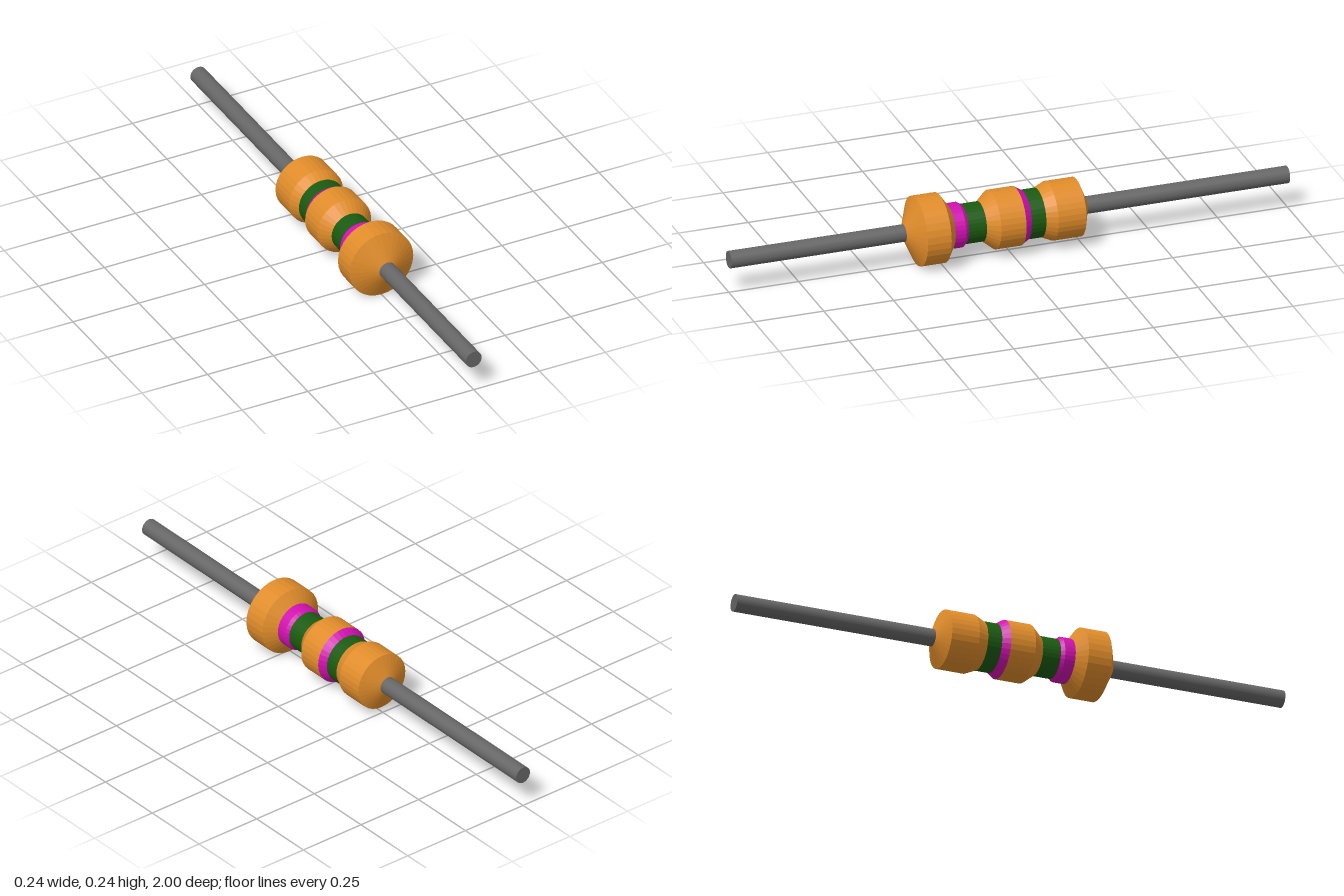
import * as THREE from 'three';

const SIDES = 32;

export function createModel() {
  const model = new THREE.Group();
  model.name = 'resistor';
  const axis = new THREE.Group();
  axis.name = 'axialBody';
  axis.position.y = 0.121;
  axis.rotation.x = Math.PI / 2; // local y runs along z
  model.add(axis);

  const material = (color) => new THREE.MeshStandardMaterial({ color, flatShading: true });
  const orange = material(0xe08c2a);
  const green = material(0x1a5a10);
  const magenta = material(0xd010b0);
  const grey = material(0x666666);

  // Turned section from [z, radius] pairs, back to front
  function turned(name, mat, profile) {
    const points = profile.map(([z, r]) => new THREE.Vector2(r, z));
    const mesh = new THREE.Mesh(new THREE.LatheGeometry(points, SIDES), mat);
    mesh.name = name;
    axis.add(mesh);
  }

  // Body sections and colour bands
  turned('rearCap', orange, [[-0.275, 0.03], [-0.245, 0.102], [-0.145, 0.102], [-0.107, 0.085]]);
  turned('rearGreenBand', green, [[-0.107, 0.085], [-0.056, 0.085]]);
  turned('rearMagentaBand', magenta, [[-0.056, 0.085], [-0.03, 0.102]]);
  turned('middleSection', orange, [[-0.03, 0.102], [0.06, 0.102], [0.1, 0.069]]);
  turned('frontGreenBand', green, [[0.1, 0.069], [0.165, 0.069]]);
  turned('frontMagentaBand', magenta, [[0.165, 0.069], [0.177, 0.078], [0.215, 0.078]]);
  turned('frontCap', orange, [[0.215, 0.078], [0.245, 0.121], [0.33, 0.121], [0.373, 0.03]]);

  // Wire leads at both ends, reaching slightly into the caps
  for (const [name, from, to] of [['frontLead', 0.36, 1], ['rearLead', -1, -0.265]]) {
    const lead = new THREE.Mesh(new THREE.CylinderGeometry(0.03, 0.03, to - from, SIDES), grey);
    lead.name = name;
    lead.position.y = (from + to) / 2;
    axis.add(lead);
  }
  return model;
}
